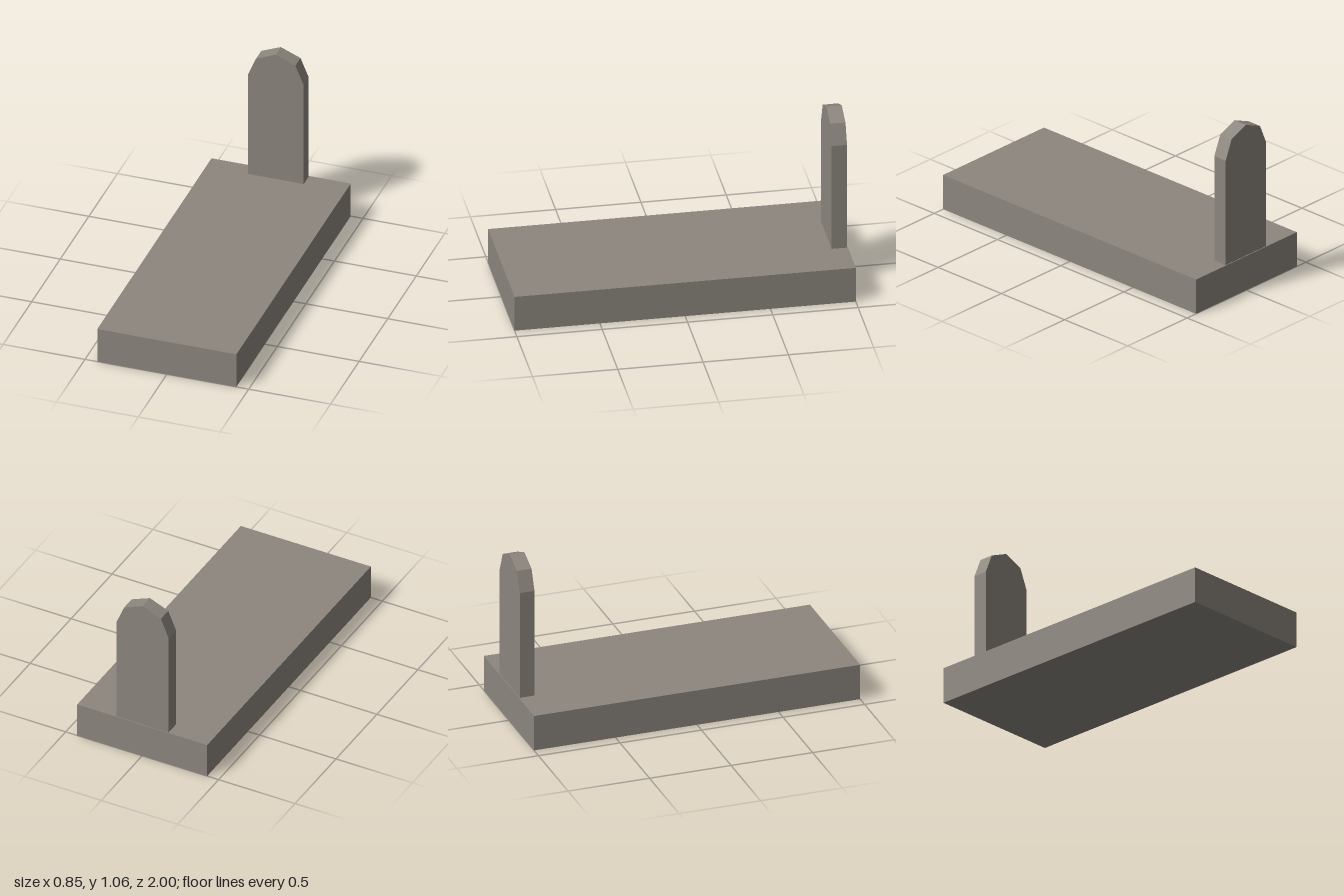
import * as THREE from 'three';

export function createModel() {
  const group = new THREE.Group();
  const stone = new THREE.MeshStandardMaterial({ color: 0x8c867d });
  stone.name = 'warm grey stone';

  // Ground slab
  const slab = new THREE.Mesh(new THREE.BoxGeometry(0.85, 0.22, 2), stone);
  slab.name = 'slab';
  slab.position.y = 0.11;
  group.add(slab);

  // Upright headstone with a faceted arched top, standing at the back of the slab
  const half = [[0.17, 0.22], [0.17, 0.89], [0.12, 1.01]];
  const outline = [...half, [0, 1.06], ...half.map(([x, y]) => [-x, y]).reverse()];
  const shape = new THREE.Shape(outline.map(([x, y]) => new THREE.Vector2(x, y)));
  const headstone = new THREE.Mesh(
    new THREE.ExtrudeGeometry(shape, { depth: 0.09, bevelEnabled: false }), stone);
  headstone.name = 'headstone';
  headstone.position.z = -0.995;
  group.add(headstone);

  return group;
}
